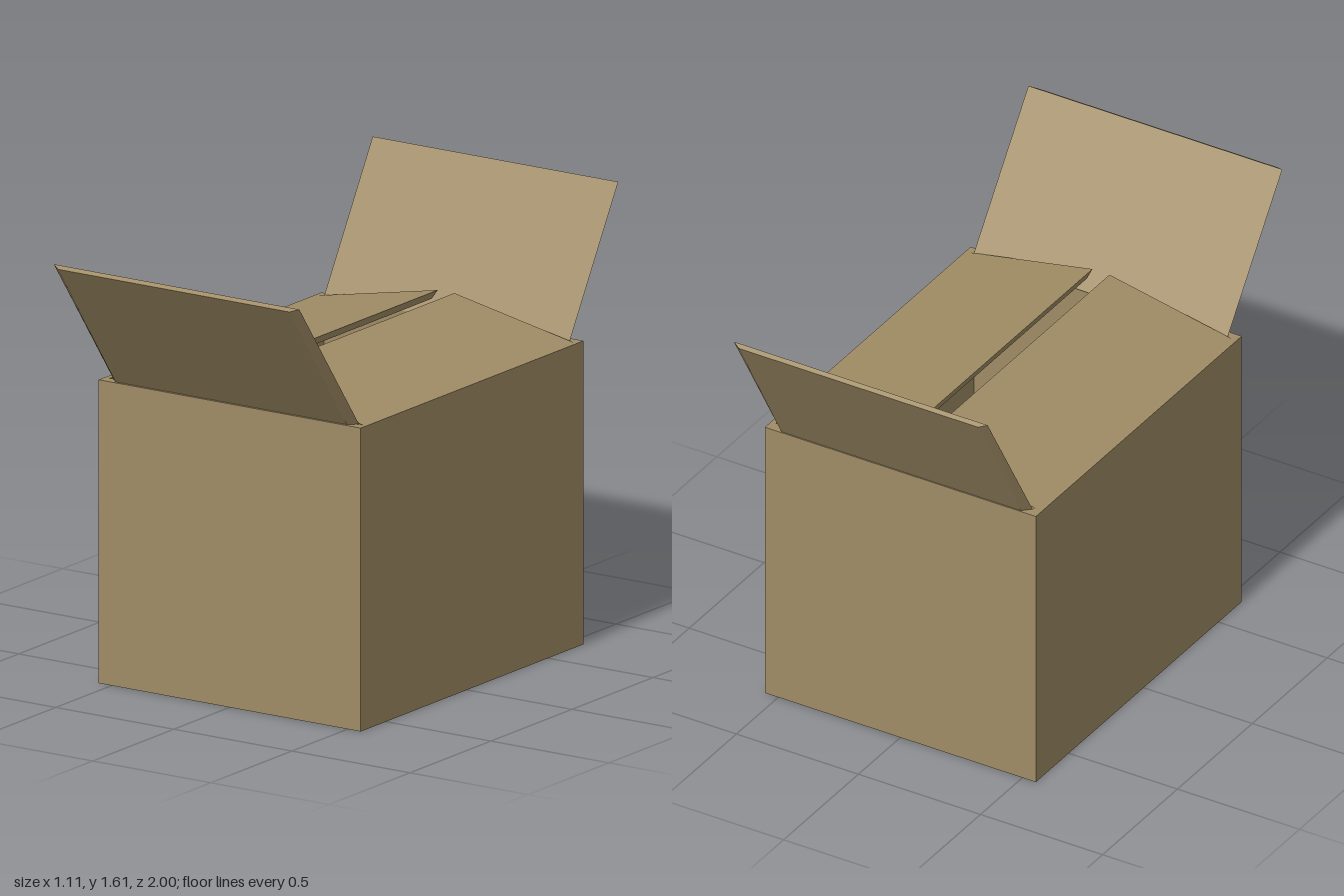
import * as THREE from 'three';
import { ConvexGeometry } from 'three/addons/geometries/ConvexGeometry.js';

const HALF_X = 0.555, BACK = -0.72, FRONT = 0.655, HEIGHT = 1.1;
const WALL = 0.035, FLOOR = 0.03;

export function createModel() {
  const box = new THREE.Group();
  box.name = 'openCardboardBox';
  const card = new THREE.MeshStandardMaterial({ color: 0xa08c65, flatShading: true });

  function add(name, geometry) {
    const mesh = new THREE.Mesh(geometry, card);
    mesh.name = name;
    box.add(mesh);
    return mesh;
  }

  // Rectangle in plan; y of the shape becomes -z once laid flat
  function rectangle(Type, inset) {
    const x = HALF_X - inset, a = -FRONT + inset, b = -BACK - inset;
    return new Type([[-x, a], [x, a], [x, b], [-x, b]].map(p => new THREE.Vector2(...p)));
  }

  // Four walls as one hollow tube
  const plan = rectangle(THREE.Shape, 0);
  plan.holes.push(rectangle(THREE.Path, WALL));
  const walls = new THREE.ExtrudeGeometry(plan, { depth: HEIGHT, bevelEnabled: false });
  add('walls', walls.rotateX(-Math.PI / 2));

  // Floor closing the bottom between the walls
  const floor = new THREE.ExtrudeGeometry(rectangle(THREE.Shape, WALL), { depth: FLOOR, bevelEnabled: false });
  add('floor', floor.rotateX(-Math.PI / 2));

  // Flap from a cross-section [across, y] and a half width for each section corner
  function flap(name, section, centre, halves, alongX) {
    const points = [];
    section.forEach(([across, y], i) => {
      for (const s of [-1, 1]) {
        const along = centre + s * halves[i];
        points.push(alongX ? new THREE.Vector3(along, y, across) : new THREE.Vector3(across, y, along));
      }
    });
    add(name, new ConvexGeometry(points));
  }

  // Section order: inner base, inner tip, outer tip, outer base; outer faces are bevelled
  const endHalves = [0.52, 0.52, 0.49, 0.49];
  flap('frontFlap', [[0.615, 1.1], [0.983, 1.6], [1, 1.59], [0.645, 1.1]], 0, endHalves, true);
  flap('backFlap', [[-0.685, 1.1], [-0.985, 1.61], [-1, 1.6], [-0.715, 1.1]], 0, endHalves, true);

  // Side flaps folded inward, nearly meeting in the middle
  const sideHalves = [0.62, 0.62, 0.65, 0.65];
  for (const [name, s] of [['leftFlap', 1], ['rightFlap', -1]]) {
    const section = [[0.52, 1.08], [0.04, 1.175], [0.035, 1.2], [0.545, 1.1]];
    flap(name, section.map(([x, y]) => [s * x, y]), -0.03, sideHalves, false);
  }

  return box;
}
